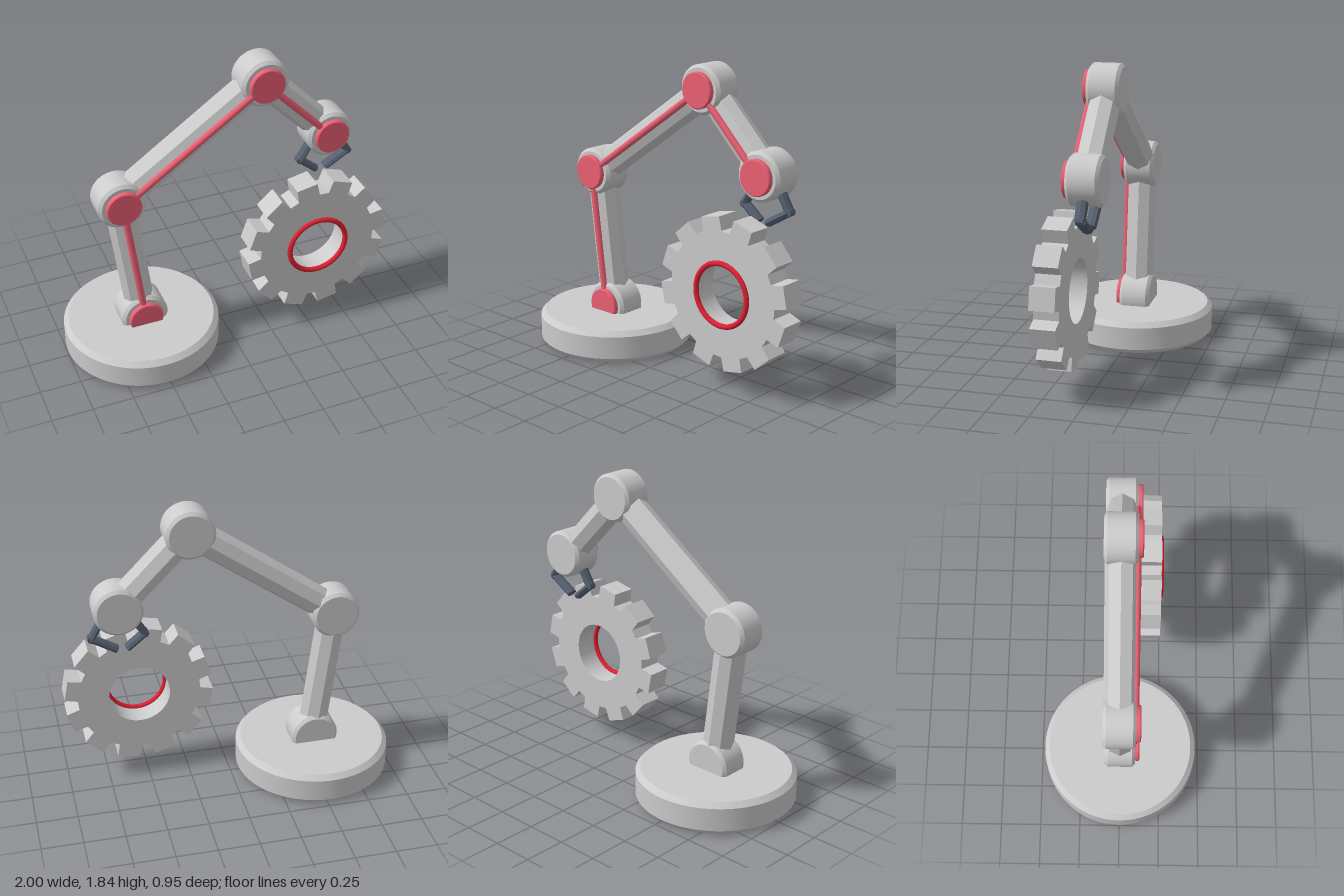
import * as THREE from 'three';
import { toCreasedNormals } from 'three/addons/utils/BufferGeometryUtils.js';

const grey = new THREE.MeshStandardMaterial({ color: 0xcccccc });
const greyFlat = new THREE.MeshStandardMaterial({ color: 0xcccccc, flatShading: true });
const pink = new THREE.MeshStandardMaterial({ color: 0xee6074 });
const red = new THREE.MeshStandardMaterial({ color: 0xe02032 });
const steel = new THREE.MeshStandardMaterial({ color: 0x556070, flatShading: true });

function add(parent, name, geometry, material, x = 0, y = 0, z = 0) {
  const mesh = new THREE.Mesh(geometry, material);
  mesh.name = name;
  mesh.position.set(x, y, z);
  parent.add(mesh);
  return mesh;
}

// Disc with chamfered rims, standing on y = 0
function chamferedDisc(r, h, bevel, segments = 64) {
  const profile = [[0, 0], [r - bevel, 0], [r, bevel], [r, h - bevel], [r - bevel, h], [0, h]];
  const points = profile.map(([x, y]) => new THREE.Vector2(x, y));
  return toCreasedNormals(new THREE.LatheGeometry(points, segments), 0.5);
}

// Straight prism between two points of the arm's plane
function rod(parent, name, a, b, r, sides, material, z = 0, flatten = 1) {
  const dx = b[0] - a[0], dy = b[1] - a[1];
  const geometry = new THREE.CylinderGeometry(r, r, Math.hypot(dx, dy), sides);
  geometry.scale(flatten, 1, 1);
  const mesh = add(parent, name, geometry, material, (a[0] + b[0]) / 2, (a[1] + b[1]) / 2, z);
  mesh.rotation.z = Math.atan2(dy, dx) - Math.PI / 2;
  return mesh;
}

function gearShape(teeth, rootR, tipR, holeR, phase) {
  const shape = new THREE.Shape();
  const deg = Math.PI / 180;
  const corners = [[rootR, -10.5], [tipR, -8.3], [tipR, 8.3], [rootR, 10.5]];
  for (let i = 0; i < teeth; i++) {
    for (const [r, offset] of corners) {
      const t = (phase + i * 360 / teeth + offset) * deg;
      const x = r * Math.cos(t), y = r * Math.sin(t);
      if (shape.curves.length === 0 && i === 0 && r === rootR && offset < 0) shape.moveTo(x, y);
      else shape.lineTo(x, y);
    }
  }
  shape.closePath();
  shape.holes.push(new THREE.Path().absarc(0, 0, holeR, 0, Math.PI * 2, true));
  return shape;
}

export function createModel() {
  const model = new THREE.Group();
  model.name = 'robotArm';

  add(model, 'base', chamferedDisc(0.477, 0.2, 0.03, 96), grey, -0.525, 0, 0);

  // Pivots from shoulder to wrist
  const pivots = [[-0.525, 0.235], [-0.63, 1.083], [0.244, 1.697], [0.67, 1.263]];
  const jointNames = ['baseJoint', 'elbowJoint', 'upperJoint', 'wristJoint'];
  const linkNames = ['lowerLink', 'middleLink', 'upperLink'];

  pivots.forEach(([x, y], i) => {
    const joint = new THREE.Group();
    joint.name = jointNames[i];
    joint.position.set(x, y, 0);
    model.add(joint);
    add(joint, 'jointHousing', chamferedDisc(0.145, 0.19, 0.018), grey, 0, 0, -0.095).rotation.x = Math.PI / 2;
    add(joint, 'jointCap', chamferedDisc(0.106, 0.04, 0.006), pink, 0, 0, 0.083).rotation.x = Math.PI / 2;
  });

  // Octagonal links with a cable along the front edge
  linkNames.forEach((name, i) => {
    const link = new THREE.Group();
    link.name = name;
    model.add(link);
    rod(link, 'linkBeam', pivots[i], pivots[i + 1], 0.092, 8, greyFlat);
    rod(link, 'linkCable', pivots[i], pivots[i + 1], 0.021, 8, pink, 0.09);
  });

  // Two bent gripper fingers
  const fingers = {
    rightFinger: [[0.585, 1.19], [0.513, 1.073], [0.62, 0.985]],
    leftFinger: [[0.765, 1.18], [0.827, 1.073], [0.68, 0.985]],
  };
  for (const [name, path] of Object.entries(fingers)) {
    const finger = new THREE.Group();
    finger.name = name;
    model.add(finger);
    rod(finger, 'fingerUpper', path[0], path[1], 0.034, 8, steel, 0, 0.7);
    rod(finger, 'fingerTip', path[1], path[2], 0.034, 8, steel, 0, 0.7);
    const knuckle = add(finger, 'knuckle', new THREE.CylinderGeometry(0.024, 0.024, 0.045, 8), steel, path[1][0], path[1][1], 0);
    knuckle.rotation.x = Math.PI / 2;
  }

  // Gear held by the gripper
  const gear = new THREE.Group();
  gear.name = 'gear';
  gear.position.set(0.543, 0.588, 0);
  model.add(gear);
  const body = new THREE.ExtrudeGeometry(gearShape(12, 0.375, 0.456, 0.187, 11), {
    depth: 0.147, bevelEnabled: false, curveSegments: 48,
  });
  add(gear, 'gearBody', toCreasedNormals(body, 0.25), grey, 0, 0, 0.095);
  add(gear, 'gearRing', new THREE.TorusGeometry(0.185, 0.016, 12, 64), red, 0, 0, 0.245);

  return model;
}
